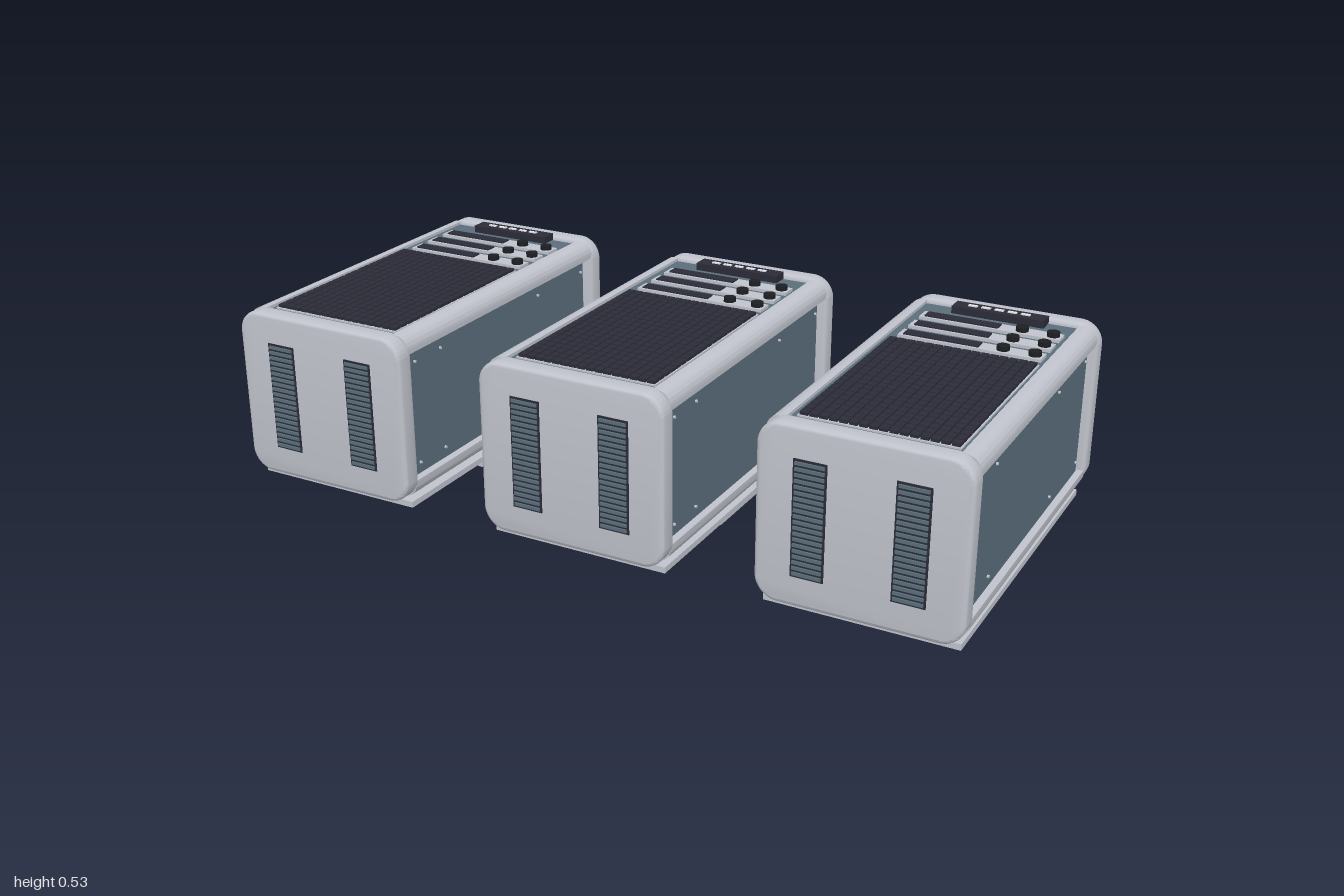
import * as THREE from 'three';
import { mergeGeometries, toCreasedNormals } from 'three/addons/utils/BufferGeometryUtils.js';

const mat = (name, color) => {
  const m = new THREE.MeshStandardMaterial({ color });
  m.name = name;
  return m;
};

// Box given by its centre and size
const box = (x, y, z, w, h, d) => new THREE.BoxGeometry(w, h, d).translate(x, y, z);
const cylY = (x, y, z, r, h, n = 20) => new THREE.CylinderGeometry(r, r, h, n).translate(x, y, z);
const cylZ = (x, y, z, r, h, n = 20) =>
  new THREE.CylinderGeometry(r, r, h, n).rotateX(Math.PI / 2).translate(x, y, z);

function roundedRect(w, h, r) {
  const s = new THREE.Shape();
  const x = w / 2, y = h / 2;
  s.moveTo(-x + r, -y);
  s.lineTo(x - r, -y);
  s.absarc(x - r, -y + r, r, -Math.PI / 2, 0);
  s.absarc(x - r, y - r, r, 0, Math.PI / 2);
  s.absarc(-x + r, y - r, r, Math.PI / 2, Math.PI);
  s.absarc(-x + r, -y + r, r, Math.PI, Math.PI * 1.5);
  return s;
}

// Rounded end cap between two z values
function capGeometry(z0, z1) {
  const b = 0.01;
  const g = new THREE.ExtrudeGeometry(roundedRect(0.51, 0.45, 0.06), {
    depth: z1 - z0 - 2 * b, bevelThickness: b, bevelSize: b, bevelOffset: -b,
    bevelSegments: 3, curveSegments: 8,
  });
  return toCreasedNormals(g.translate(0, 0.295, z0 + b), 0.6);
}

// Corner rail with a rounded outer edge, for the +x +y corner before turning
function railGeometry(sx, sy) {
  const s = new THREE.Shape();
  const w = 0.047, r = 0.036;
  s.moveTo(0, 0);
  s.lineTo(w, 0);
  s.lineTo(w, w - r);
  s.absarc(w - r, w - r, r, 0, Math.PI / 2);
  s.lineTo(0, w);
  const g = new THREE.ExtrudeGeometry(s, { depth: 0.89, bevelEnabled: false, curveSegments: 8 });
  // Turn by quarter turns so the winding stays outward
  const turn = sx > 0 ? (sy > 0 ? 0 : -Math.PI / 2) : (sy > 0 ? Math.PI / 2 : Math.PI);
  g.rotateZ(turn).translate(sx * 0.204, 0.295 + sy * 0.174, -0.425);
  return toCreasedNormals(g, 0.6);
}

export function createModel() {
  const grey = mat('light grey', 0xc0c3cc);
  const slate = mat('slate blue', 0x5a6e7b);
  const dark = mat('dark grille', 0x2b2c38);
  const black = mat('black', 0x1d1e23);
  const white = mat('white', 0xe6e8ec);

  const unit = new THREE.Group();
  const add = (name, geo, material) => {
    const m = new THREE.Mesh(Array.isArray(geo) ? mergeGeometries(geo) : geo, material);
    m.name = name;
    unit.add(m);
  };
  const corners = [[1, 1], [-1, 1], [1, -1], [-1, -1]];

  // Body shell, caps and corner rails
  add('bodyCore', box(0, 0.292, 0.02, 0.45, 0.415, 0.88), grey);
  add('frontCap', capGeometry(0.455, 0.508), grey);
  add('backCap', capGeometry(-0.47, -0.417), grey);
  add('cornerRails', corners.map(([sx, sy]) => railGeometry(sx, sy)), grey);

  // Side panels with screws
  for (const s of [1, -1]) {
    add('sidePanel', box(s * 0.229, 0.2925, 0.025, 0.012, 0.335, 0.85), slate);
    const screws = [];
    for (const z of [0.42, 0.31, -0.155, -0.385])
      for (const y of [0.155, 0.435])
        screws.push(new THREE.CylinderGeometry(0.004, 0.004, 0.006, 8)
          .rotateZ(Math.PI / 2).translate(s * 0.237, y, z));
    add('panelScrews', screws, grey);
  }

  // Control face on the top
  add('topPanel', box(-0.003, 0.503, 0.018, 0.402, 0.01, 0.865), slate);
  add('bottomPanel', box(0, 0.082, 0.02, 0.4, 0.008, 0.87), slate);

  // Indicator strip with lamps
  add('indicatorStrip', box(0.002, 0.517, -0.395, 0.245, 0.022, 0.046), dark);
  add('indicatorLamps', [-2, -1, 0, 1, 2].map(i => box(i * 0.035, 0.529, -0.395, 0.024, 0.004, 0.01)), white);

  // Three drive rows, each with a slot and two knobs
  const plates = [], slots = [], knobs = [];
  for (const z of [-0.312, -0.237, -0.162]) {
    plates.push(box(0.006, 0.511, z, 0.368, 0.01, 0.046));
    slots.push(box(-0.068, 0.517, z, 0.195, 0.005, 0.032));
    for (const x of [0.088, 0.168]) knobs.push(cylY(x, 0.521, z, 0.016, 0.014));
  }
  add('drivePlates', plates, grey);
  add('driveSlots', slots, dark);
  add('driveKnobs', knobs, black);

  // Grille: dark cells with light gaps showing between them
  add('grilleBacking', box(0.002, 0.509, 0.16, 0.384, 0.006, 0.55), grey);
  const cells = [], cols = 16, rows = 20;
  const cw = 0.38 / cols, cd = 0.546 / rows;
  for (let i = 0; i < cols; i++)
    for (let j = 0; j < rows; j++)
      cells.push(box(-0.188 + cw * (i + 0.5), 0.515, -0.113 + cd * (j + 0.5), cw - 0.004, 0.01, cd - 0.005));
  add('grilleCells', cells, dark);

  // Louvred vents in the front cap and slotted vents in the back cap
  const holes = [], louvres = [], backSlots = [];
  for (const s of [1, -1]) {
    holes.push(box(s * 0.122, 0.295, 0.508, 0.082, 0.294, 0.004));
    for (let i = 0; i < 20; i++)
      louvres.push(box(s * 0.122, 0.1575 + i * 0.01447, 0.511, 0.072, 0.008, 0.006));
    for (let i = 0; i < 13; i++)
      backSlots.push(box(s * 0.098, 0.16 + i * 0.0225, -0.471, 0.135, 0.014, 0.004));
  }
  add('frontVentRecess', holes, dark);
  add('frontVentLouvres', louvres, slate);
  add('backVentSlots', backSlots, dark);

  // Levelling feet on the back cap
  const stems = [], pads = [];
  for (const [sx, sy] of corners) {
    const x = sx * 0.19, y = 0.295 + sy * 0.163;
    stems.push(cylZ(x, y, -0.48, 0.018, 0.032), cylZ(x, y, -0.473, 0.024, 0.008), cylZ(x, y, -0.5, 0.032, 0.012));
    pads.push(cylZ(x, y, -0.511, 0.033, 0.01));
  }
  add('footStems', stems, grey);
  add('footPads', pads, black);

  // Hinged door below the body
  add('doorSlab', box(-0.006, 0.051, 0.018, 0.484, 0.016, 0.895), grey);
  add('doorPanel', box(-0.006, 0.0425, 0.018, 0.468, 0.004, 0.88), slate);
  add('doorHinge', cylZ(-0.246, 0.051, 0.018, 0.008, 0.88, 12), black);
  add('doorLatch', box(-0.1, 0.039, -0.135, 0.03, 0.006, 0.05), black);
  add('rearBoss', new THREE.SphereGeometry(1, 20, 10).scale(0.07, 0.014, 0.048).translate(-0.025, 0.074, -0.095), grey);

  // Door handle
  add('doorHandle', [
    box(0.195, 0.01, -0.034, 0.016, 0.014, 0.268),
    box(0.195, 0.027, 0.09, 0.016, 0.032, 0.014),
    box(0.195, 0.027, -0.16, 0.016, 0.032, 0.014),
    box(0.195, 0.0015, -0.034, 0.01, 0.003, 0.26),
  ], grey);

  // Three identical cabinets side by side
  const group = new THREE.Group();
  ['rightCabinet', 'middleCabinet', 'leftCabinet'].forEach((name, i) => {
    const c = unit.clone();
    c.name = name;
    c.position.x = (i - 1) * 0.745;
    group.add(c);
  });
  return group;
}
